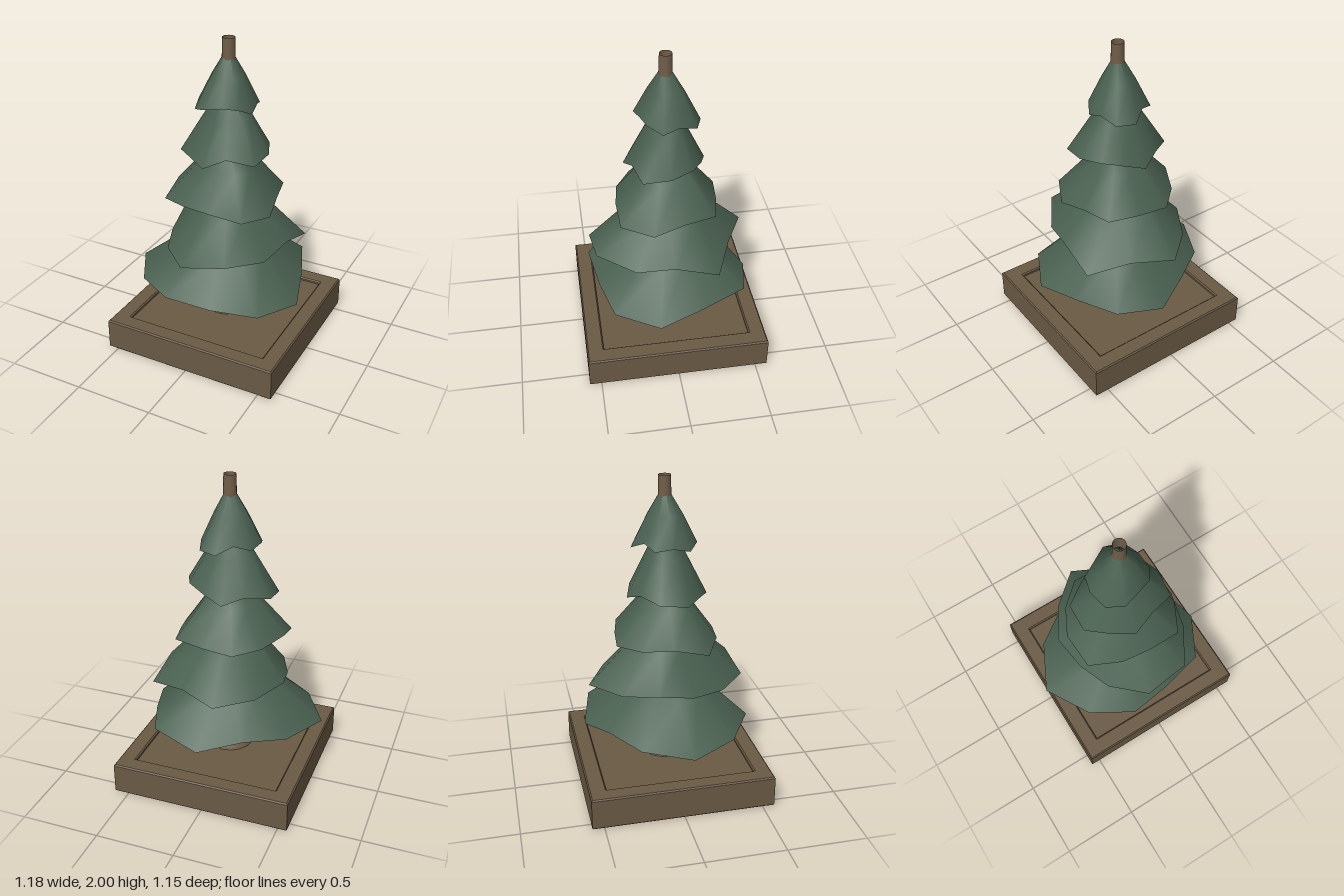
import * as THREE from 'three';

const foliage = new THREE.MeshStandardMaterial({ name: 'needleGreen', color: 0x4a6151, side: THREE.DoubleSide });
const bark = new THREE.MeshStandardMaterial({ name: 'barkBrown', color: 0x705d48, side: THREE.DoubleSide });
const wood = new THREE.MeshStandardMaterial({ name: 'baseBrown', color: 0x6a5a44 });

const SIDES = 11;
const CX = 0.013; // trunk axis, slightly off the middle of the base

// Each tier: apex height, angle of the first rim point (degrees), bulge of the middle ring,
// then rim radii and rim heights, going clockwise seen from above
const tiers = [
  { apex: 0.91, start: 152, bulge: 1,
    r: [0.52, 0.46, 0.525, 0.565, 0.48, 0.545, 0.545, 0.465, 0.53, 0.555, 0.61],
    y: [0.43, 0.45, 0.395, 0.46, 0.43, 0.39, 0.41, 0.42, 0.455, 0.43, 0.42] },
  { apex: 1.19, start: 98, bulge: 1.03,
    r: [0.505, 0.415, 0.5, 0.41, 0.43, 0.51, 0.495, 0.41, 0.37, 0.41, 0.425],
    y: [0.72, 0.73, 0.68, 0.755, 0.715, 0.755, 0.695, 0.69, 0.70, 0.75, 0.72] },
  { apex: 1.43, start: 111.5, bulge: 1.03,
    r: [0.352, 0.315, 0.371, 0.308, 0.362, 0.394, 0.318, 0.333, 0.397, 0.365, 0.337],
    y: [0.99, 1.0, 1.01, 1.0, 0.965, 0.985, 1.0, 1.0, 0.97, 1.03, 1.0] },
  { apex: 1.76, start: 97, bulge: 1.03,
    r: [0.244, 0.225, 0.251, 0.273, 0.308, 0.235, 0.26, 0.251, 0.302, 0.302, 0.235],
    y: [1.265, 1.31, 1.335, 1.32, 1.30, 1.325, 1.26, 1.285, 1.27, 1.29, 1.31] },
  { apex: 1.95, start: 85, bulge: 1.08,
    r: [0.206, 0.21, 0.171, 0.181, 0.175, 0.159, 0.197, 0.203, 0.197, 0.194, 0.159],
    y: [1.565, 1.57, 1.60, 1.57, 1.61, 1.615, 1.60, 1.57, 1.60, 1.58, 1.61] },
];

// Open ragged cone: apex, bulged middle ring and uneven rim
function tierGeometry({ apex, start, bulge, r, y }) {
  const pos = [], index = [];
  for (let i = 0; i < SIDES; i++) {
    const a = THREE.MathUtils.degToRad(start - i * 360 / SIDES);
    for (const [t, k] of [[0, 1], [0.5, bulge], [1, 1]]) {
      const rad = r[i] * t * k;
      pos.push(CX + Math.cos(a) * rad, apex + (y[i] - apex) * t, -Math.sin(a) * rad);
    }
    const p = i * 3, q = ((i + 1) % SIDES) * 3;
    index.push(p, q + 1, p + 1, p + 1, q + 1, q + 2, p + 1, q + 2, p + 2);
  }
  // The rim runs clockwise from above, so flip each face to point outward
  for (let i = 0; i < index.length; i += 3) {
    [index[i + 1], index[i + 2]] = [index[i + 2], index[i + 1]];
  }
  const g = new THREE.BufferGeometry();
  g.setAttribute('position', new THREE.Float32BufferAttribute(pos, 3));
  g.setIndex(windOutward(pos, index));
  g.computeVertexNormals();
  return g;
}

// Make sure every triangle faces away from the trunk axis
function windOutward(pos, index) {
  const v = (i) => new THREE.Vector3().fromArray(pos, i * 3);
  for (let i = 0; i < index.length; i += 3) {
    const [a, b, c] = [v(index[i]), v(index[i + 1]), v(index[i + 2])];
    const n = b.clone().sub(a).cross(c.clone().sub(a));
    const mid = a.add(b).add(c).divideScalar(3);
    if (n.x * (mid.x - CX) + n.z * mid.z < 0) {
      [index[i + 1], index[i + 2]] = [index[i + 2], index[i + 1]];
    }
  }
  return index;
}

function square(target, h) {
  target.moveTo(-h, -h);
  target.lineTo(h, -h);
  target.lineTo(h, h);
  target.lineTo(-h, h);
  target.closePath();
  return target;
}

export function createModel() {
  const model = new THREE.Group();
  model.name = 'potlessTree';
  const add = (name, geometry, material) => {
    const mesh = new THREE.Mesh(geometry, material);
    mesh.name = name;
    model.add(mesh);
    return mesh;
  };

  // Square base: bevelled frame around a slightly sunken panel
  const bevel = 0.008;
  const outline = square(new THREE.Shape(), 0.575 - bevel);
  outline.holes.push(square(new THREE.Path(), 0.468 + bevel));
  const frame = new THREE.ExtrudeGeometry(outline, {
    depth: 0.205 - 2 * bevel, bevelEnabled: true, bevelSize: bevel, bevelThickness: bevel, bevelSegments: 1,
  });
  frame.rotateX(-Math.PI / 2);
  add('baseFrame', frame, wood).position.set(0.015, bevel, 0);
  add('basePanel', new THREE.BoxGeometry(0.95, 0.175, 0.95), wood).position.set(0.015, 0.0975, 0);

  // Flared stump and the tapering open-topped trunk
  const lathe = (points) => new THREE.LatheGeometry(points.map(([x, y]) => new THREE.Vector2(x, y)), 16);
  add('stump', lathe([[0.155, 0.18], [0.148, 0.205], [0.126, 0.24], [0.113, 0.32], [0.104, 0.4], [0.088, 0.402]]), bark)
    .position.x = CX;
  add('trunk', lathe([[0.092, 0.4], [0.065, 1.2], [0.04, 1.9], [0.038, 2]]), bark).position.x = CX;

  // Layers of branches
  tiers.forEach((tier, i) => add(`branchTier${i + 1}`, tierGeometry(tier), foliage));
  return model;
}
